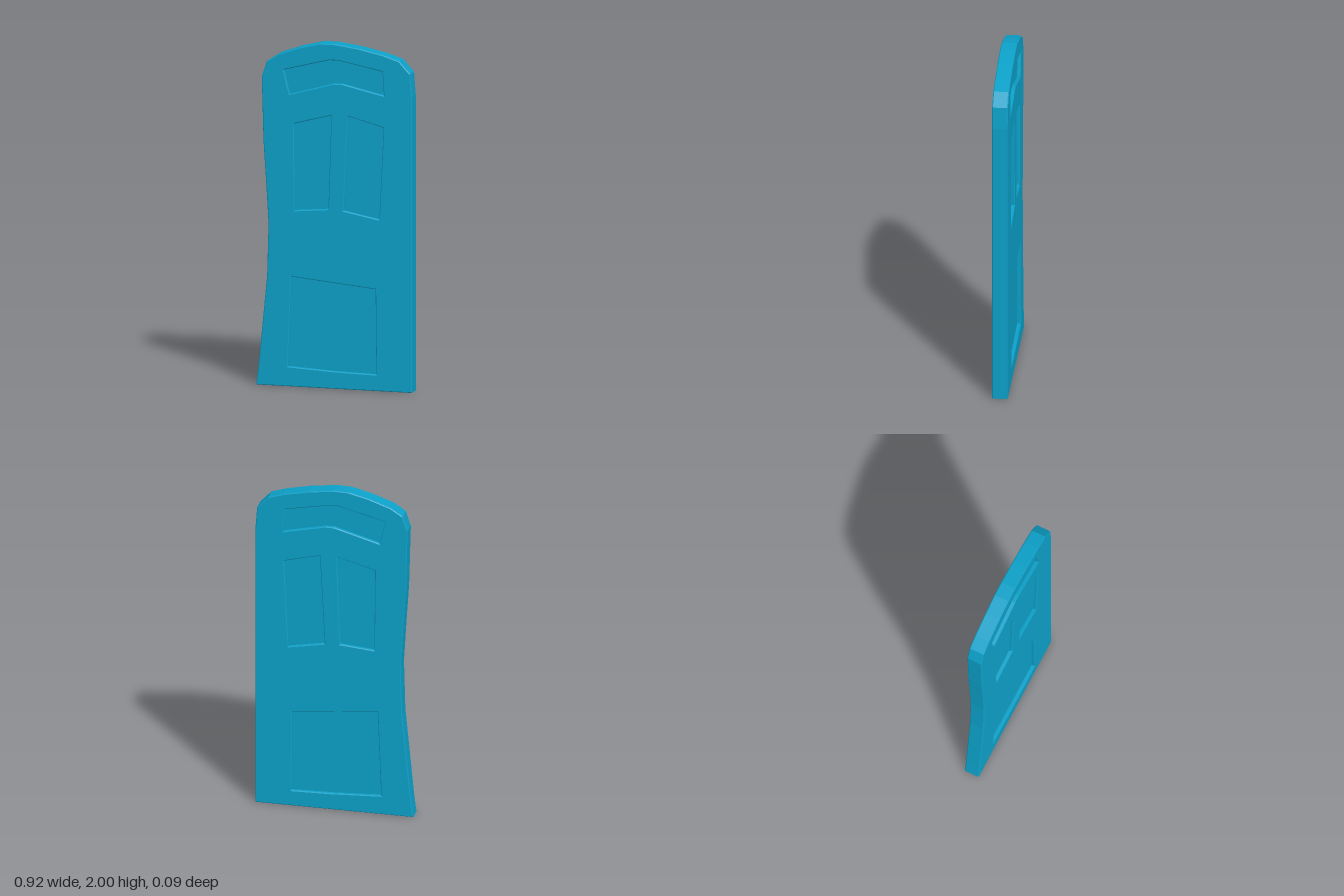
import * as THREE from 'three';

const HALF = 0.045;   // half the door thickness
const BEVEL = 0.005;  // edge chamfer
const RECESS = 0.02;  // depth of the sunken panels

const toPoints = (list) => list.map(([x, y]) => new THREE.Vector2(x, y));

// Warped door outline, counter-clockwise from the bottom left
const OUTLINE = [
  [-0.463, 0], [0.46, 0], [0.46, 1.72], [0.45, 1.85], [0.385, 1.92], [0.29, 1.95],
  [0.15, 1.98], [0, 2], [-0.085, 1.998], [-0.2, 1.97], [-0.33, 1.925], [-0.4, 1.88],
  [-0.43, 1.79], [-0.42, 1.42], [-0.404, 1.18], [-0.39, 0.94], [-0.398, 0.64], [-0.45, 0.1],
];

// Sunken panels, the same on both faces
const PANELS = {
  topPanel: [[-0.3, 1.835], [-0.03, 1.905], [0.025, 1.905], [0.285, 1.855],
    [0.295, 1.715], [0.05, 1.77], [0, 1.77], [-0.265, 1.695]],
  middlePanelRight: [[-0.24, 1.525], [-0.017, 1.585], [-0.035, 1.04], [-0.235, 1.022]],
  middlePanelLeft: [[0.083, 1.585], [0.293, 1.53], [0.267, 0.995], [0.055, 1.035]],
  bottomPanel: [[-0.255, 0.637], [0.245, 0.59], [0.25, 0.095], [0.01, 0.1], [-0.275, 0.115]],
};

export function createModel() {
  const door = new THREE.Group();
  door.name = 'door';
  const paint = new THREE.MeshStandardMaterial({ color: 0x0ca0c8, flatShading: true });
  const panelPaint = paint.clone();
  panelPaint.side = THREE.DoubleSide;

  // Frame: chamfered slab with an opening for every panel
  const outline = new THREE.Shape(toPoints(OUTLINE));
  for (const corners of Object.values(PANELS)) outline.holes.push(new THREE.Path(toPoints(corners)));
  const frameGeometry = new THREE.ExtrudeGeometry(outline, {
    depth: 2 * (HALF - BEVEL),
    bevelEnabled: true,
    bevelThickness: BEVEL,
    bevelSize: BEVEL,
    bevelOffset: -BEVEL,
    bevelSegments: 1,
  });
  frameGeometry.translate(0, 0, -(HALF - BEVEL));
  const frame = new THREE.Mesh(frameGeometry, paint);
  frame.name = 'doorFrame';
  door.add(frame);

  // Panel floors, set back from the front and the back
  for (const [name, corners] of Object.entries(PANELS)) {
    const geometry = new THREE.ShapeGeometry(new THREE.Shape(toPoints(corners)));
    for (const side of [1, -1]) {
      const panel = new THREE.Mesh(geometry, panelPaint);
      panel.name = name + (side > 0 ? 'Front' : 'Back');
      panel.position.z = side * (HALF - RECESS);
      door.add(panel);
    }
  }
  return door;
}
